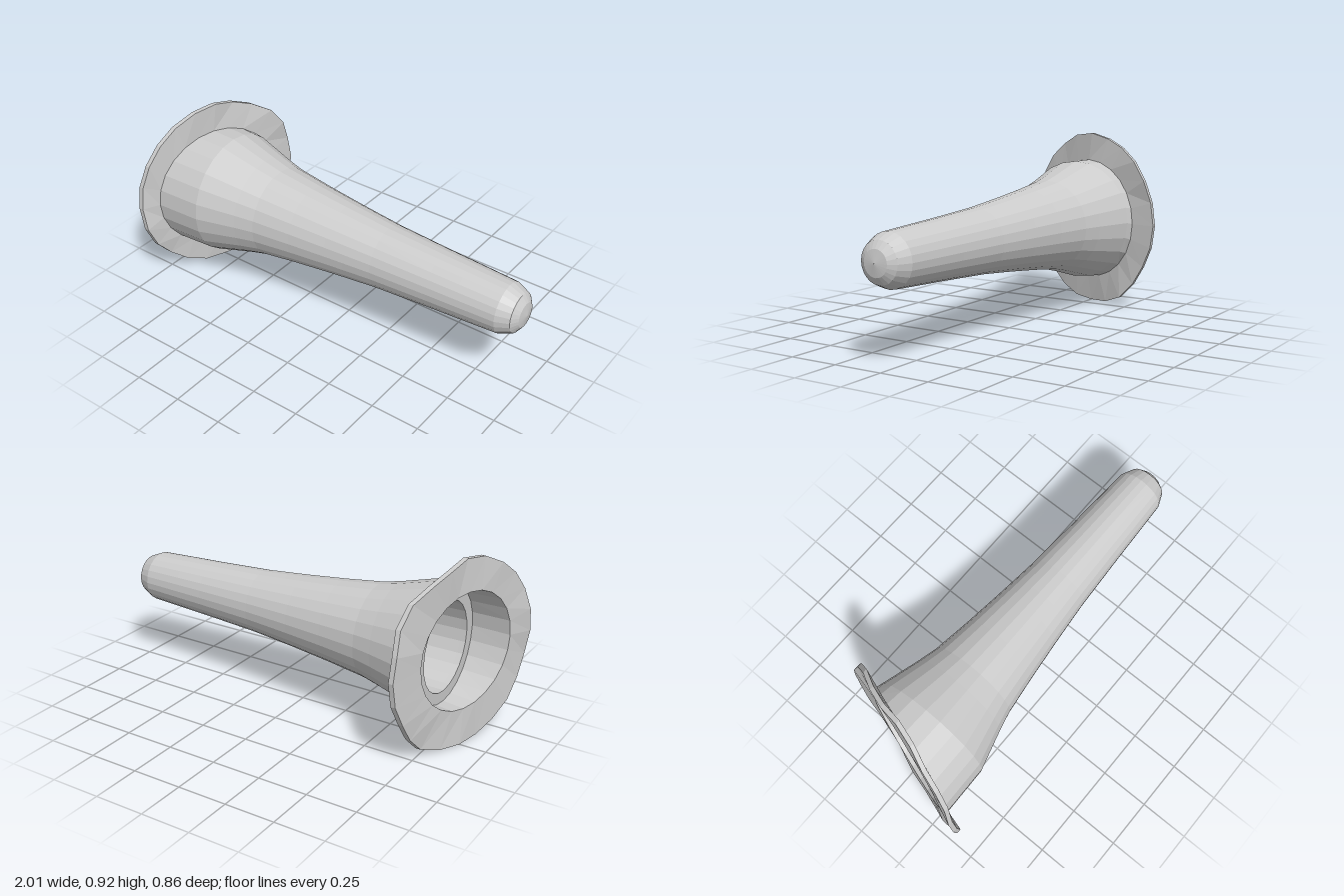
import * as THREE from 'three';

const SIDES = 24;

// One cross-section around the x axis; tilt shears x by z, wobble makes the edge uneven
function ring({ x, r, ry = r, cy = 0.465, cz = 0.025, tilt = 0, wobble = 0 }) {
  const points = [];
  for (let j = 0; j < SIDES; j++) {
    const a = (j / SIDES) * Math.PI * 2;
    const w = wobble * (Math.sin(a * 7 + 1) + Math.sin(a * 4));
    const z = cz + (r + w) * Math.sin(a);
    // the far side of the flange bends back to upright
    points.push(x + tilt * Math.max(z, -0.37) + w * 1.5, cy + (ry + w) * Math.cos(a), z);
  }
  return points;
}

// Skin consecutive sections
function loft(name, sections, material) {
  const positions = sections.flatMap(ring);
  const index = [];
  for (let i = 0; i < sections.length - 1; i++) {
    for (let j = 0; j < SIDES; j++) {
      const k = (j + 1) % SIDES;
      const a = i * SIDES + j, b = i * SIDES + k;
      const c = a + SIDES, d = b + SIDES;
      index.push(a, c, b, b, c, d);
    }
  }
  const geometry = new THREE.BufferGeometry();
  geometry.setAttribute('position', new THREE.Float32BufferAttribute(positions, 3));
  geometry.setIndex(index);
  geometry.computeVertexNormals();
  const mesh = new THREE.Mesh(geometry, material);
  mesh.name = name;
  return mesh;
}

const section = ([x, r]) => ({ x, r });

export function createModel() {
  const group = new THREE.Group();
  group.name = 'flangedCone';
  const material = new THREE.MeshStandardMaterial({
    color: 0xcccccc, flatShading: true, side: THREE.DoubleSide,
  });
  const tilt = -0.33;

  // Rounded tip, long taper, then the flare that meets the tilted flange
  const taper = [
    [1, 0.001], [0.99, 0.062], [0.965, 0.098], [0.9, 0.126], [0.7, 0.136], [0.55, 0.143],
    [0.25, 0.16], [0.1, 0.174], [0, 0.184], [-0.2, 0.206], [-0.4, 0.232], [-0.5, 0.256],
    [-0.6, 0.284], [-0.7, 0.312],
  ].map(section);
  const collar = { x: -0.83, r: 0.32, cy: 0.457, cz: 0.02, tilt };
  group.add(loft('body', [...taper, collar], material));

  // Thin, slightly ragged flange
  const edge = { r: 0.428, ry: 0.46, cy: 0.458, cz: 0, tilt, wobble: 0.005 };
  const mouth = { x: -0.86, r: 0.275, ry: 0.29, cy: 0.472, cz: 0.02, tilt };
  group.add(loft('flange', [
    collar, { ...edge, x: -0.836 }, { ...edge, x: -0.86 }, mouth,
  ], material));

  // Shallow recess behind the mouth with an upright ledge at its bottom
  group.add(loft('recess', [
    mouth, { x: -0.76, r: 0.28, cy: 0.47 }, { x: -0.76, r: 0.22 }, { x: -0.73, r: 0.22 },
  ], material));

  // Thin-walled hollow inside, closed near the tip
  group.add(loft('bore', [
    [-0.73, 0.22], [-0.4, 0.213], [-0.2, 0.19], [0, 0.17], [0.25, 0.147], [0.55, 0.13],
    [0.9, 0.112], [0.96, 0.07], [0.97, 0.001],
  ].map(section), material));

  return group;
}
